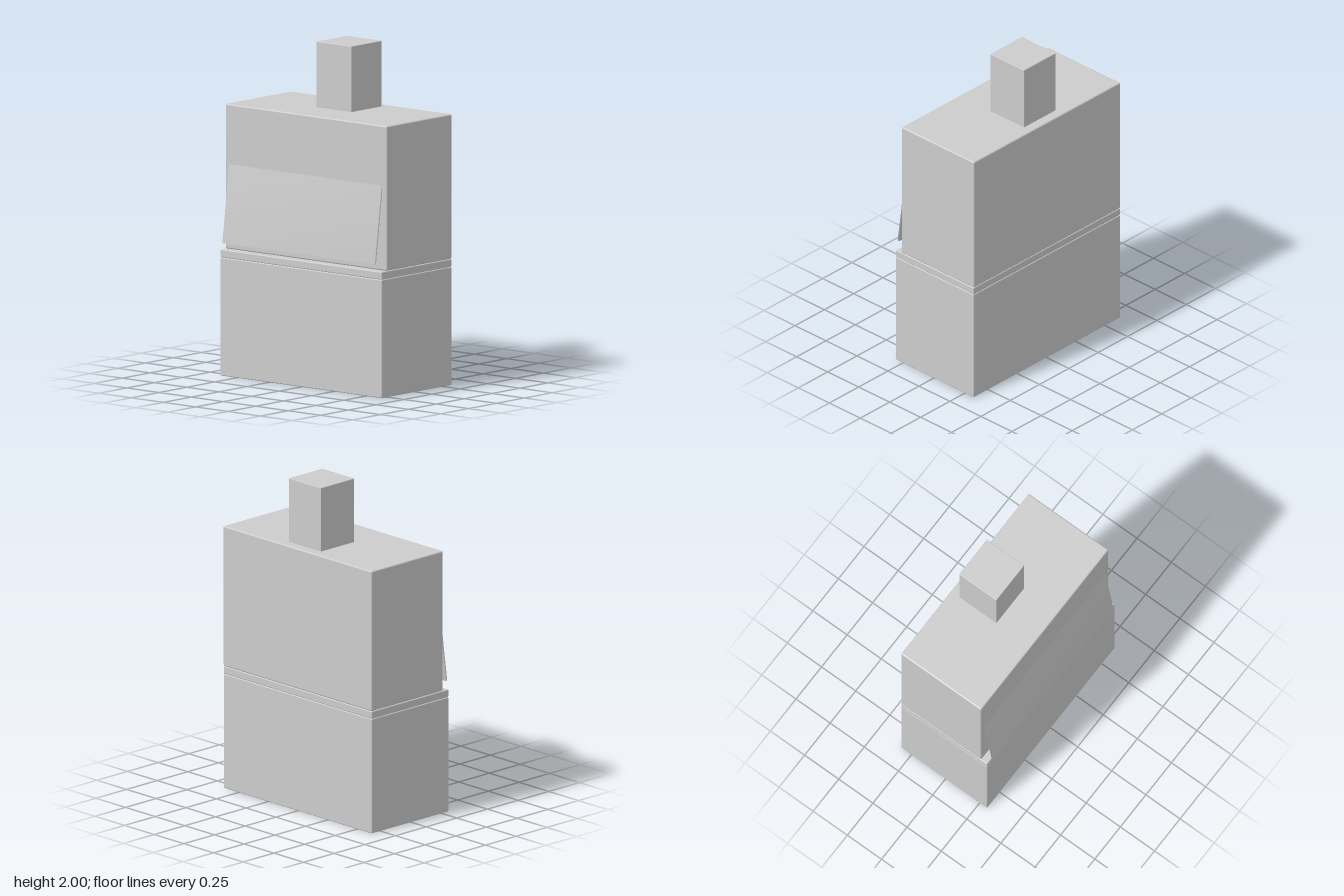
import * as THREE from 'three';
import { RoundedBoxGeometry } from 'three/addons/geometries/RoundedBoxGeometry.js';
import { mergeVertices } from 'three/addons/utils/BufferGeometryUtils.js';

export function createModel() {
  const group = new THREE.Group();
  group.name = 'fireplace';
  const plaster = new THREE.MeshStandardMaterial({ color: 0xcccccc });
  plaster.name = 'light grey';

  // Softly bevelled block given by its extents
  const block = (name, [x0, x1], [y0, y1], [z0, z1], radius) => {
    const geometry = new RoundedBoxGeometry(x1 - x0, y1 - y0, z1 - z0, 2, radius);
    const mesh = new THREE.Mesh(geometry, plaster);
    mesh.name = name;
    mesh.position.set((x0 + x1) / 2, (y0 + y1) / 2, (z0 + z1) / 2);
    group.add(mesh);
  };

  const width = [-0.625, 0.625];
  block('base', width, [0, 0.703], [-0.323, 0.305], 0.006);
  block('ledge', width, [0.703, 0.75], [-0.323, 0.305], 0.006);
  block('upperBody', width, [0.75, 1.61], [-0.325, 0.26], 0.009);
  block('chimney', [-0.137, 0.134], [1.6, 2], [-0.265, 0.008], 0.003);

  // Thin tilted flap with shared, smoothed corner normals
  let flapGeometry = new THREE.BoxGeometry(1.178, 0.466, 0.013);
  flapGeometry.deleteAttribute('normal');
  flapGeometry.deleteAttribute('uv');
  flapGeometry = mergeVertices(flapGeometry);
  flapGeometry.computeVertexNormals();
  const flap = new THREE.Mesh(flapGeometry, plaster);
  flap.name = 'frontFlap';
  flap.position.set(-0.002, 1.023, 0.289);
  flap.rotation.x = -0.13;
  group.add(flap);

  return group;
}
